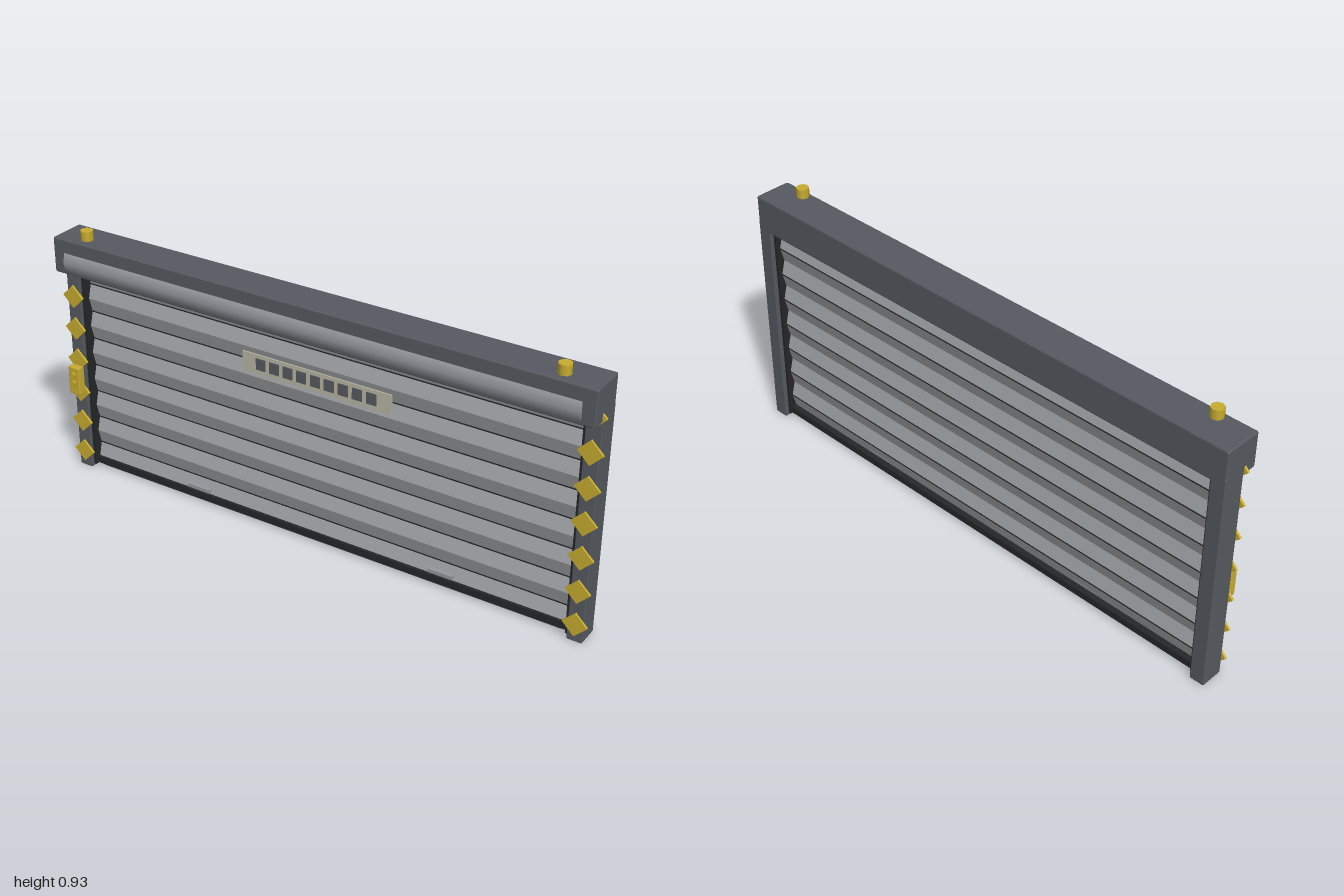
import * as THREE from 'three';
import { RoundedBoxGeometry } from 'three/addons/geometries/RoundedBoxGeometry.js';

const mat = (name, color, extra = {}) => Object.assign(new THREE.MeshStandardMaterial({ color, ...extra }), { name });

export function createModel() {
  const frame = mat('frame grey', 0x565a60);
  const steel = mat('slat steel', 0xa0a3a6, { flatShading: true });
  const tube = mat('roll steel', 0x94989d);
  const rubber = mat('black rubber', 0x26272a);
  const yellow = mat('safety yellow', 0xc8ad30);
  const cream = mat('sign cream', 0xb9b5a6);
  const model = new THREE.Group();
  model.name = 'rollerShutter';

  const add = (name, geometry, material, x, y, z) => {
    const mesh = new THREE.Mesh(geometry, material);
    mesh.name = name;
    mesh.position.set(x, y, z);
    model.add(mesh);
    return mesh;
  };
  // Box given by its limits, with an optional bevel
  const box = (name, material, [x0, x1], [y0, y1], [z0, z1], bevel = 0) => {
    const s = [x1 - x0, y1 - y0, z1 - z0];
    const g = bevel ? new RoundedBoxGeometry(...s, 1, bevel) : new THREE.BoxGeometry(...s);
    return add(name, g, material, (x0 + x1) / 2, (y0 + y1) / 2, (z0 + z1) / 2);
  };

  // Header housing and the rolled curtain showing through it
  box('header', frame, [-0.985, 0.985], [0.77, 0.895], [-0.07, 0.064], 0.006);
  add('roll', new THREE.CylinderGeometry(0.063, 0.063, 1.88, 12).rotateZ(Math.PI / 2), tube, 0, 0.815, 0.01);

  // Corrugated curtain: a folded strip swept across the opening
  const pitch = 0.1027, bottom = 0.036, folds = 14, t = 0.004;
  const front = [], back = [];
  for (let i = 0; i <= folds; i++) {
    const y = bottom + i * pitch / 2;
    const z = i % 2 ? -0.036 : -0.022;
    front.push(new THREE.Vector2(-z, y));
    back.unshift(new THREE.Vector2(-z + t, y));
  }
  const curtain = new THREE.ExtrudeGeometry(new THREE.Shape([...front, ...back]), { depth: 1.86, bevelEnabled: false });
  curtain.translate(0, 0, -0.93).rotateY(Math.PI / 2);
  add('curtain', curtain, steel, 0, 0, 0);
  // Thin joints in the grooves
  for (let i = 0; i < 7; i++) {
    const y = bottom + pitch * (i + 0.5);
    box('slatJoint', rubber, [-0.93, 0.93], [y - 0.002, y + 0.002], [-0.041, -0.034]);
  }

  // Bottom rail, seal and lift handles
  box('bottomRail', rubber, [-0.93, 0.93], [0.012, 0.037], [-0.048, -0.012]);
  box('bottomSeal', frame, [-0.9, 0.9], [0.004, 0.014], [-0.04, -0.02]);
  for (const x of [-0.475, 0.475]) {
    box('liftHandle', tube, [x - 0.045, x + 0.045], [0.045, 0.058], [-0.03, -0.01]);
  }

  // Louvred sign plate
  box('signPlate', cream, [-0.28, 0.28], [0.565, 0.635], [-0.022, -0.017]);
  for (let i = 0; i < 9; i++) {
    const x = -0.208 + i * 0.052;
    box('signVent', frame, [x - 0.018, x + 0.018], [0.582, 0.622], [-0.018, -0.014]);
  }

  // Both sides: post, guide seal, warning diamonds and beacon
  for (const s of [-1, 1]) {
    const span = (a, b) => (s > 0 ? [a, b] : [-b, -a]);
    box('sidePost', frame, span(0.932, 0.985), [0, 0.8], [-0.07, 0.012], 0.004);
    box('guideSeal', rubber, span(0.922, 0.934), [0.01, 0.775], [-0.055, 0]);
    for (let i = 0; i < 7; i++) {
      const diamond = add('warningDiamond', new THREE.BoxGeometry(0.0594, 0.0594, 0.008), yellow, s * 0.958, 0.065 + i * 0.12, 0.015);
      diamond.rotation.z = Math.PI / 4;
    }
    add('beacon', new THREE.CylinderGeometry(0.022, 0.022, 0.033, 8), yellow, s * 0.865, 0.9175, 0.03);
  }

  // Control box with two buttons
  box('controlBox', yellow, [-0.983, -0.937], [0.3, 0.405], [0.012, 0.043], 0.004);
  for (const y of [0.347, 0.378]) {
    add('controlButton', new THREE.CylinderGeometry(0.009, 0.009, 0.01, 10).rotateX(Math.PI / 2), yellow, -0.96, y, 0.046);
  }

  return model;
}
